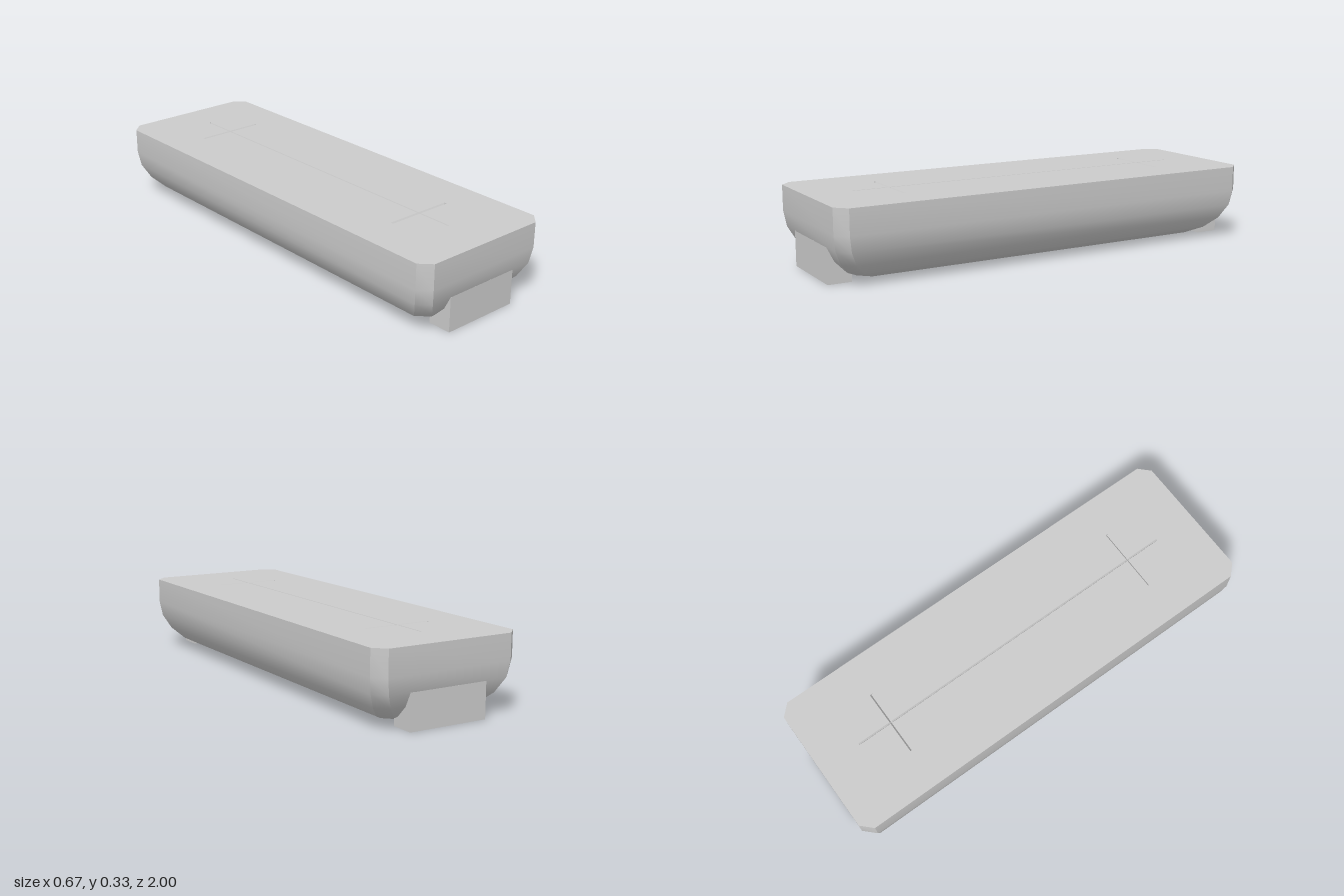
import * as THREE from 'three';
import { toCreasedNormals } from 'three/addons/utils/BufferGeometryUtils.js';

const H = 0.333, HX = 0.335, HZ = 1, CHAMFER = 0.048, R = 0.222;
const grey = new THREE.MeshStandardMaterial({ color: 0xcccccc });
const greyDouble = new THREE.MeshStandardMaterial({ color: 0xcccccc, side: THREE.DoubleSide });

// Chamfered rectangle, pulled in by d, as [x, z] corners
function outline(d) {
  const x = HX - d, z = HZ - d, c = CHAMFER;
  return [[x, z - c], [x, c - z], [x - c, -z], [c - x, -z],
    [-x, c - z], [-x, z - c], [c - x, z], [x - c, z]];
}

// Quad strips between successive closed rings of [x, y, z] points
function loft(rings) {
  const positions = [];
  for (let r = 0; r + 1 < rings.length; r++) {
    const a = rings[r], b = rings[r + 1];
    for (let i = 0; i < a.length; i++) {
      const j = (i + 1) % a.length;
      positions.push(...a[i], ...b[j], ...b[i], ...a[i], ...a[j], ...b[j]);
    }
  }
  const geometry = new THREE.BufferGeometry();
  geometry.setAttribute('position', new THREE.Float32BufferAttribute(positions, 3));
  return geometry;
}

function add(group, name, geometry, material = grey) {
  const mesh = new THREE.Mesh(geometry, material);
  mesh.name = name;
  group.add(mesh);
  return mesh;
}

export function createModel() {
  const group = new THREE.Group();
  group.name = 'block';

  // Rounded hull: straight upper wall, quarter-round lower edge, flat bottom
  const ring = (d, y) => outline(d).map(([x, z]) => [x, y, z]);
  const rings = [ring(0, H)];
  for (let i = 0; i <= 5; i++) {
    const a = (i / 5) * Math.PI / 2;
    rings.push(ring(R * (1 - Math.cos(a)), R * (1 - Math.sin(a))));
  }
  rings.push(outline(R).map(() => [0, 0, 0]));
  // Rings run clockwise from below, so flip them to face outward
  add(group, 'hull', toCreasedNormals(loft(rings.map((r) => r.slice().reverse()).reverse()), 0.5), greyDouble);

  // Groove outline: rim points paired with points on the groove centre lines
  const w = 0.004, v = 0.007, arm = 0.153, depth = 0.01;
  const z0 = -0.808, z1 = -0.643, z2 = 0.635, z3 = 0.798;
  const half = [[w, z0, 0, z0]];
  for (const z of [z1, z2]) {
    half.push([w, z - v, 0, z], [arm, z - v, arm, z], [arm, z + v, arm, z], [w, z + v, 0, z]);
  }
  half.push([w, z3, 0, z3]);
  const groove = [...half, ...half.slice().reverse().map(([x, z, cx, cz]) => [-x, z, -cx, cz])];

  // Flat top, opened along the groove
  const top = new THREE.Shape(outline(0).map(([x, z]) => new THREE.Vector2(x, -z)));
  top.holes.push(new THREE.Path(groove.map(([x, z]) => new THREE.Vector2(x, -z))));
  const topGeometry = new THREE.ShapeGeometry(top);
  topGeometry.rotateX(-Math.PI / 2).translate(0, H, 0);
  add(group, 'top', topGeometry);

  // V-shaped groove walls
  const grooveGeometry = loft([
    groove.map(([x, z]) => [x, H, z]),
    groove.map(([, , x, z]) => [x, H - depth, z]),
  ]);
  grooveGeometry.computeVertexNormals();
  add(group, 'topGroove', grooveGeometry, greyDouble);

  // End feet
  for (const [name, s] of [['frontFoot', 1], ['backFoot', -1]]) {
    add(group, name, new THREE.BoxGeometry(0.357, 0.153, 0.104)).position.set(0, 0.0765, s * 0.937);
  }
  return group;
}
